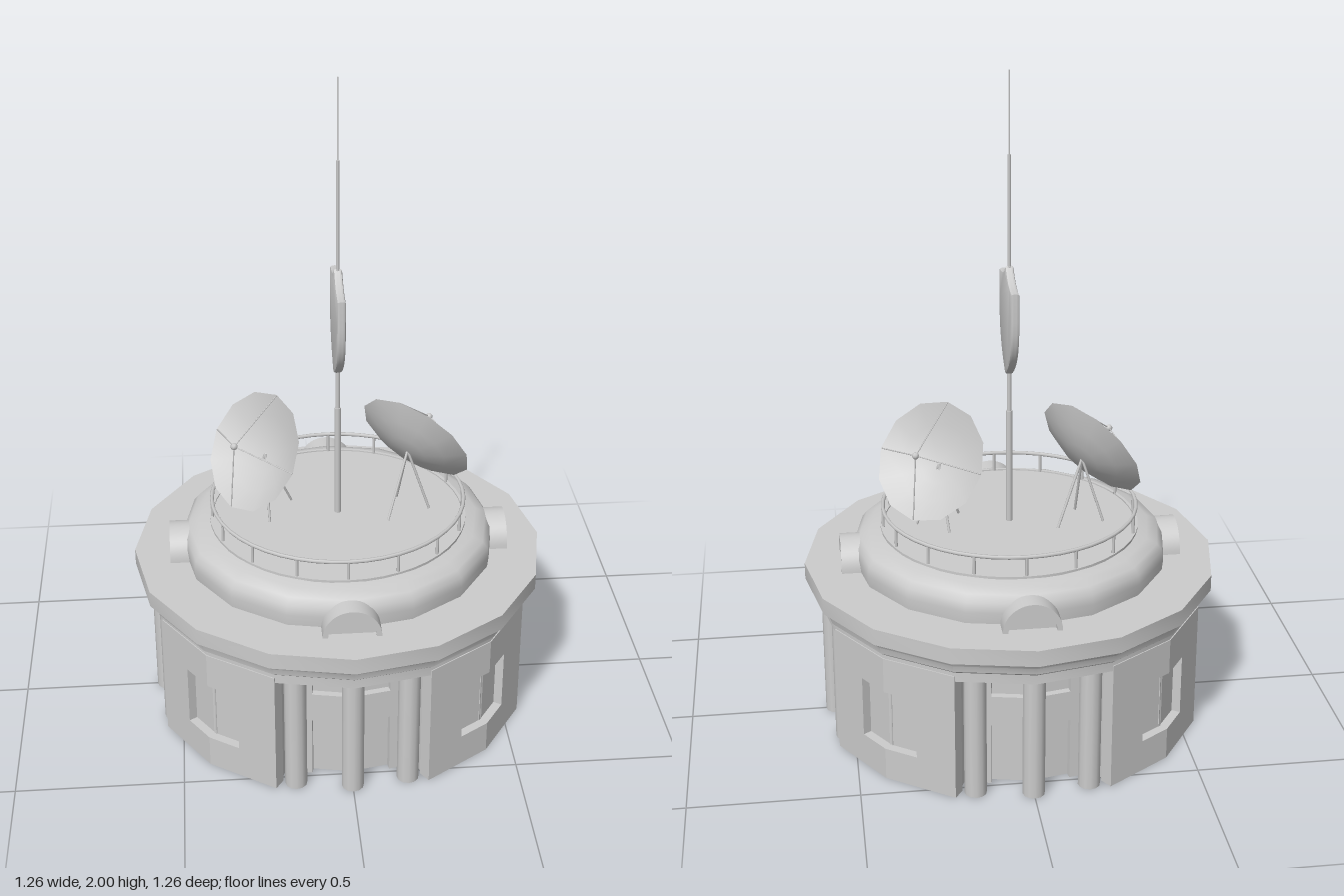
import * as THREE from 'three';
import { toCreasedNormals } from 'three/addons/utils/BufferGeometryUtils.js';

const mat = new THREE.MeshStandardMaterial({ color: 0xcccccc });
const thin = new THREE.MeshStandardMaterial({ color: 0xcccccc, side: THREE.DoubleSide });
const STEP = Math.PI / 8; // the building has 16 sides
const V = (x, y, z) => new THREE.Vector3(x, y, z);

function add(parent, name, geometry, material = mat) {
  const mesh = new THREE.Mesh(geometry, material);
  mesh.name = name;
  parent.add(mesh);
  return mesh;
}

function lathe(points, sides, crease = 0.5) {
  const profile = points.map(([r, y]) => new THREE.Vector2(r, y));
  return toCreasedNormals(new THREE.LatheGeometry(profile, sides), crease);
}

// Thin round bar between two points
function bar(parent, name, a, b, radius, sides = 6) {
  const dir = b.clone().sub(a);
  const mesh = add(parent, name, new THREE.CylinderGeometry(radius, radius, dir.length(), sides));
  mesh.position.copy(a).addScaledVector(dir, 0.5);
  mesh.quaternion.setFromUnitVectors(V(0, 1, 0), dir.normalize());
  return mesh;
}

// One flat side of a 16-sided wall, starting at angle `corner` and running to `side`.
// Its outline is given as [distance from the corner, height].
function facet(parent, name, radius, corner, side, outline, depth, inset = 0) {
  const mid = corner + side * STEP / 2;
  const half = radius * Math.sin(STEP / 2);
  const shape = new THREE.Shape(outline(2 * half).map(([s, y]) => new THREE.Vector2(side * (s - half), y)));
  const geo = new THREE.ExtrudeGeometry(shape, { depth, bevelEnabled: false });
  const mesh = add(parent, name, geo);
  const r = radius * Math.cos(STEP / 2) - depth - inset;
  mesh.rotation.y = mid;
  mesh.position.set(Math.sin(mid) * r, 0, Math.cos(mid) * r);
}

const rect = (w, y0, y1) => () => [[0, y0], [w, y0], [w, y1], [0, y1]];

// Wall pieces between the porches, each with a recessed window round its corner
function windowWall(parent, angle) {
  for (const side of [-1, 1]) {
    facet(parent, 'wall', 0.595, angle, side, (L) => [
      [0, 0], [L, 0], [L, 0.4], [0, 0.4], [0, 0.29], [0.105, 0.29], [0.105, 0.1], [0, 0.1],
    ], 0.04);
    facet(parent, 'windowPane', 0.595, angle, side, rect(0.11, 0.095, 0.295), 0.012, 0.027);
  }
}

// Recessed porch: back wall with a door and upper window, side returns and three columns
function porch(parent, angle) {
  const group = new THREE.Group();
  group.name = 'porch';
  group.rotation.y = angle;
  parent.add(group);
  for (const side of [-1, 1]) {
    facet(group, 'porchBackWall', 0.51, 0, side, (L) => [
      [0.118, 0], [L, 0], [L, 0.4], [0, 0.4], [0, 0.38], [0.118, 0.38],
      [0.118, 0.29], [0, 0.29], [0, 0.195], [0.118, 0.195],
    ], 0.03);
    facet(group, 'door', 0.51, 0, side, rect(0.12, 0, 0.2), 0.01, 0.02);
    facet(group, 'upperWindow', 0.51, 0, side, rect(0.12, 0.285, 0.385), 0.01, 0.02);
    const jamb = add(group, 'porchReturn', new THREE.BoxGeometry(0.02, 0.4, 0.1));
    const a = side * (STEP + 0.018);
    jamb.position.set(Math.sin(a) * 0.538, 0.2, Math.cos(a) * 0.538);
    jamb.rotation.y = a;
  }
  for (const [x, z] of [[-0.167, 0.525], [0, 0.55], [0.167, 0.525]]) {
    const column = add(group, 'column', new THREE.CylinderGeometry(0.033, 0.033, 0.385, 12));
    column.position.set(x, 0.1925, z);
  }
}

// Half-round dormer on the dome
function dormer(parent, angle) {
  const group = new THREE.Group();
  group.name = 'dormer';
  group.rotation.y = angle;
  group.position.y = 0.51;
  parent.add(group);
  const frame = new THREE.Shape();
  frame.absarc(0, 0, 0.086, 0, Math.PI, false);
  frame.lineTo(-0.07, 0);
  frame.absarc(0, 0, 0.07, Math.PI, 0, true);
  const ring = toCreasedNormals(new THREE.ExtrudeGeometry(frame, { depth: 0.12, bevelEnabled: false, curveSegments: 10 }), 0.6);
  add(group, 'dormerFrame', ring).position.z = 0.4;
  const pane = new THREE.Shape().absarc(0, 0, 0.072, 0, Math.PI, false);
  add(group, 'dormerPane', new THREE.ExtrudeGeometry(pane, { depth: 0.09, bevelEnabled: false, curveSegments: 10 })).position.z = 0.41;
}

// Dish antenna facing along `facing`, carried on three legs
function dishAntenna(parent, name, centre, facing) {
  const n = facing.normalize();
  const group = new THREE.Group();
  group.name = name;
  parent.add(group);
  const head = new THREE.Group();
  head.name = 'dishHead';
  head.position.copy(centre);
  head.lookAt(centre.clone().add(n));
  group.add(head);
  const profile = [[0, -0.055], [0.06, -0.049], [0.12, -0.031], [0.185, 0]];
  add(head, 'dish', lathe(profile, 12, 0.7).rotateX(Math.PI / 2), thin);
  const feed = V(0, 0, 0.085);
  add(head, 'feedHorn', new THREE.SphereGeometry(0.011, 8, 6)).position.copy(feed);
  for (let i = 0; i < 4; i++) {
    const a = i * Math.PI / 2;
    bar(head, 'feedStrut', feed, V(Math.cos(a) * 0.182, Math.sin(a) * 0.182, 0), 0.002, 5);
  }
  const hub = centre.clone().addScaledVector(n, -0.05);
  const back = Math.atan2(-n.x, -n.z);
  for (let i = 0; i < 3; i++) {
    const a = back + i * Math.PI * 2 / 3;
    const reach = i === 0 ? 0.1 : 0.07;
    const foot = V(hub.x + Math.sin(a) * reach, 0.62, hub.z + Math.cos(a) * reach);
    bar(group, 'dishLeg', hub, foot, 0.004);
  }
}

export function createModel() {
  const model = new THREE.Group();
  model.name = 'domedStation';

  // Ground floor
  for (let i = 0; i < 4; i++) {
    const a = i * Math.PI / 2;
    porch(model, a);
    windowWall(model, a + Math.PI / 4);
    dormer(model, a);
  }

  // Ceiling, soffit and moulded cornice in one profile
  add(model, 'cornice', lathe([
    [0, 0.495], [0.485, 0.495], [0.485, 0.383], [0.592, 0.383], [0.592, 0.412], [0.602, 0.42],
    [0.606, 0.44], [0.618, 0.458], [0.63, 0.46], [0.63, 0.51], [0.46, 0.51],
  ], 16));

  // Low dome with a flat round deck
  add(model, 'dome', lathe([
    [0.478, 0.505], [0.482, 0.545], [0.478, 0.575], [0.462, 0.595], [0.43, 0.609], [0.385, 0.617],
  ], 16, 0.7));
  add(model, 'deck', lathe([[0.395, 0.6], [0.395, 0.622], [0.385, 0.622], [0.385, 0.618], [0, 0.618]], 48));

  // Railing
  const rail = add(model, 'handrail', new THREE.TorusGeometry(0.387, 0.006, 6, 48));
  rail.rotation.x = Math.PI / 2;
  rail.position.y = 0.68;
  for (let i = 0; i < 16; i++) {
    const x = Math.sin(i * STEP) * 0.387, z = Math.cos(i * STEP) * 0.387;
    bar(model, 'railPost', V(x, 0.615, z), V(x, 0.68, z), 0.005);
  }

  // Stepped mast
  const mast = [[0.615, 0.98, 0.01], [0.98, 1.43, 0.007], [1.43, 1.76, 0.005], [1.76, 2, 0.0025]];
  for (const [y0, y1, r] of mast) bar(model, 'mast', V(0, y0, 0), V(0, y1, 0), r, 8);

  // Plain shield plate on the mast, lying in the side plane
  const plate = new THREE.Shape();
  plate.moveTo(0, 1.106);
  plate.bezierCurveTo(0.07, 1.145, 0.127, 1.19, 0.127, 1.3);
  plate.lineTo(0.127, 1.378);
  plate.quadraticCurveTo(0.05, 1.378, 0, 1.422);
  plate.quadraticCurveTo(-0.05, 1.378, -0.127, 1.378);
  plate.lineTo(-0.127, 1.3);
  plate.bezierCurveTo(-0.127, 1.19, -0.07, 1.145, 0, 1.106);
  const plateGeo = new THREE.ExtrudeGeometry(plate, {
    depth: 0.01, bevelThickness: 0.008, bevelSize: 0.008, bevelSegments: 2, curveSegments: 8,
  });
  plateGeo.translate(0, 0, -0.005).rotateY(Math.PI / 2);
  add(model, 'shieldPlate', toCreasedNormals(plateGeo, 0.6));

  // Two dishes facing away from the mast
  dishAntenna(model, 'rightDish', V(-0.255, 0.845, 0.005), V(-0.7, 0.5, 0.51));
  dishAntenna(model, 'leftDish', V(0.243, 0.845, -0.04), V(0.56, 0.5, -0.65));

  return model;
}
